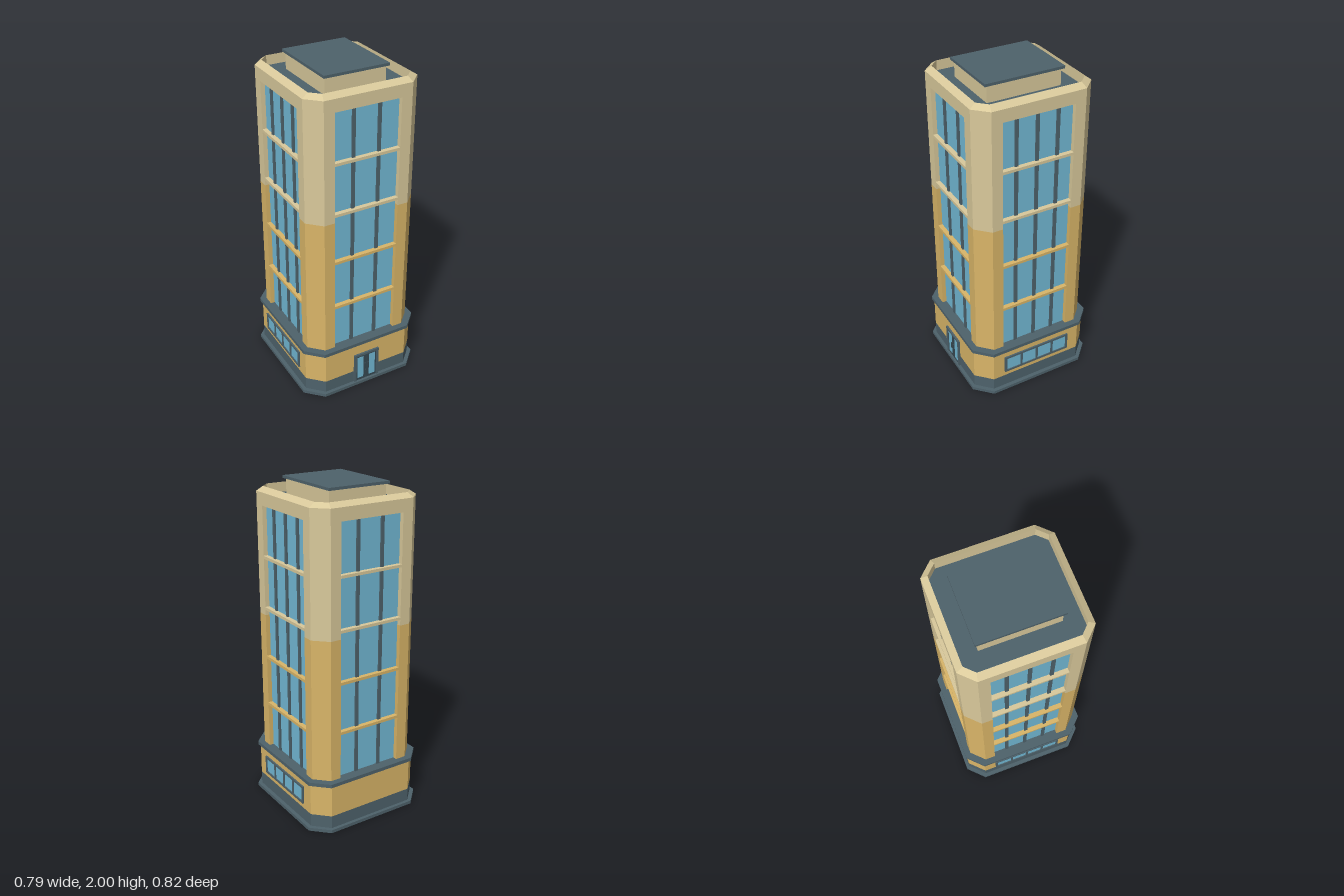
import * as THREE from 'three';

const mat = (name, color) => {
  const m = new THREE.MeshStandardMaterial({ color });
  m.name = name;
  return m;
};

export function createModel() {
  const model = new THREE.Group();
  model.name = 'tower';
  const tan = mat('tan wall', 0xd9b568);
  const beige = mat('beige wall', 0xd9c99b);
  const slate = mat('slate trim', 0x4e626b);
  const dark = mat('dark door frame', 0x364851);
  const glass = mat('blue glass', 0x72b9d5);

  const add = (parent, name, geometry, material) => {
    const mesh = new THREE.Mesh(geometry, material);
    mesh.name = name;
    parent.add(mesh);
    return mesh;
  };
  const box = (parent, name, w, h, d, x, y, z, material) =>
    add(parent, name, new THREE.BoxGeometry(w, h, d), material).position.set(x, y, z);

  // Chamfered rectangle, half sizes hx and hz, corner cut c
  const octagon = (hx, hz, c) => [
    [hx, -hz + c], [hx, hz - c], [hx - c, hz], [-hx + c, hz],
    [-hx, hz - c], [-hx, -hz + c], [-hx + c, -hz], [hx - c, -hz],
  ];

  // Capped flat-shaded solid through sections [hx, hz, c, y]
  const loft = (sections) => {
    const rings = sections.map(([hx, hz, c, y]) => octagon(hx, hz, c).map(([x, z]) => [x, y, z]));
    const p = [];
    const tri = (...v) => v.forEach((q) => p.push(...q));
    const last = rings.length - 1;
    for (let i = 0; i < 8; i++) {
      const j = (i + 1) % 8;
      for (let k = 0; k < last; k++) {
        const a = rings[k], b = rings[k + 1];
        tri(a[i], b[i], b[j]);
        tri(a[i], b[j], a[j]);
      }
      tri([0, sections[0][3], 0], rings[0][i], rings[0][j]);
      tri([0, sections[last][3], 0], rings[last][j], rings[last][i]);
    }
    const g = new THREE.BufferGeometry();
    g.setAttribute('position', new THREE.Float32BufferAttribute(p, 3));
    g.computeVertexNormals();
    return g;
  };
  const slab = (name, hx, hz, c, y0, y1, material) =>
    add(model, name, loft([[hx, hz, c, y0], [hx, hz, c, y1]]), material);

  // Base storey
  slab('plinth', 0.395, 0.41, 0.1, 0, 0.02, slate);
  slab('baseLowerBand', 0.372, 0.39, 0.09, 0.02, 0.1, slate);
  slab('baseWall', 0.372, 0.39, 0.09, 0.1, 0.3, tan);
  slab('cornice', 0.387, 0.402, 0.096, 0.3, 0.322, slate);

  // Tower shaft with a tall window recess on every side
  const HX = 0.35, HZ = 0.365, CUT = 0.08, FW = 0.204, SW = 0.22, DEPTH = 0.035;
  const recessTop = 1.845, split = 1.19;
  const outline = [
    [HX, -HZ + CUT], [HX, -SW], [HX - DEPTH, -SW], [HX - DEPTH, SW], [HX, SW], [HX, HZ - CUT],
    [HX - CUT, HZ], [FW, HZ], [FW, HZ - DEPTH], [-FW, HZ - DEPTH], [-FW, HZ], [-HX + CUT, HZ],
  ];
  const plan = new THREE.Shape(
    [...outline, ...outline.slice(0, 6).map(([x, y]) => [-x, -y]),
      ...outline.slice(6).map(([x, y]) => [-x, -y])].map(([x, y]) => new THREE.Vector2(x, y)));
  const shaft = (name, y0, y1, material) => {
    const g = new THREE.ExtrudeGeometry(plan, { depth: y1 - y0, bevelEnabled: false });
    g.rotateX(-Math.PI / 2).translate(0, y0, 0);
    add(model, name, g, material);
  };
  shaft('lowerShaft', 0.322, split, tan);
  shaft('upperShaft', split, recessTop, beige);

  // Crown with sloped parapet around a sunken roof
  add(model, 'parapet', loft([
    [HX, HZ, CUT, recessTop], [HX, HZ, CUT, 1.92],
    [0.312, 0.328, 0.054, 1.945], [0.312, 0.328, 0.054, 1.88],
  ]), beige);
  slab('roof', 0.312, 0.328, 0.054, 1.878, 1.886, slate);
  box(model, 'penthouse', 0.375, 0.105, 0.45, 0, 1.9325, 0, beige);
  box(model, 'penthouseCap', 0.4, 0.016, 0.482, 0, 1.992, 0, slate);

  // Curtain walls, each built facing +z and then turned
  const curtainWall = (name, half, dist, bars, angle) => {
    const g = new THREE.Group();
    g.name = name;
    g.rotation.y = angle;
    model.add(g);
    const back = dist - DEPTH, h = recessTop - 0.322, mid = (recessTop + 0.322) / 2;
    box(g, 'glass', half * 2, h, 0.008, 0, mid, back + 0.004, glass);
    for (const x of bars) box(g, 'mullion', 0.02, h, 0.012, x, mid, back + 0.012, slate);
    for (const y of [0.612, 0.922, 1.233, 1.545])
      box(g, 'floorBar', half * 2, 0.017, 0.032, 0, y, back + 0.02, y < split ? tan : beige);
  };
  const front = [-0.08, 0.08], side = [-0.127, 0, 0.127];
  curtainWall('frontWindows', FW, HZ, front, 0);
  curtainWall('backWindows', FW, HZ, front, Math.PI);
  curtainWall('leftWindows', SW, HX, side, Math.PI / 2);
  curtainWall('rightWindows', SW, HX, side, -Math.PI / 2);

  // Ribbon windows on the two sides of the base
  for (const s of [1, -1]) {
    const g = new THREE.Group();
    g.name = s > 0 ? 'leftRibbonWindow' : 'rightRibbonWindow';
    g.rotation.y = s * Math.PI / 2;
    model.add(g);
    for (const y of [0.141, 0.244]) box(g, 'frameRail', 0.45, 0.013, 0.016, 0, y, 0.374, slate);
    for (const x of [-0.218, -0.109, 0, 0.109, 0.218])
      box(g, 'framePost', 0.014, 0.11, 0.015, x, 0.1925, 0.374, slate);
    box(g, 'panes', 0.43, 0.1, 0.006, 0, 0.1925, 0.373, glass);
  }

  // Double entrance door
  const door = new THREE.Group();
  door.name = 'entrance';
  model.add(door);
  box(door, 'doorLintel', 0.172, 0.015, 0.022, 0, 0.218, 0.391, slate);
  for (const s of [1, -1]) {
    box(door, 'doorJamb', 0.015, 0.19, 0.022, s * 0.0785, 0.1155, 0.391, slate);
    box(door, 'doorLeaf', 0.069, 0.19, 0.009, s * 0.0365, 0.1155, 0.391, dark);
    box(door, 'doorGlass', 0.042, 0.16, 0.006, s * 0.041, 0.118, 0.394, glass);
    box(door, 'doorHandle', 0.009, 0.045, 0.01, s * 0.011, 0.12, 0.4, dark);
  }
  return model;
}
